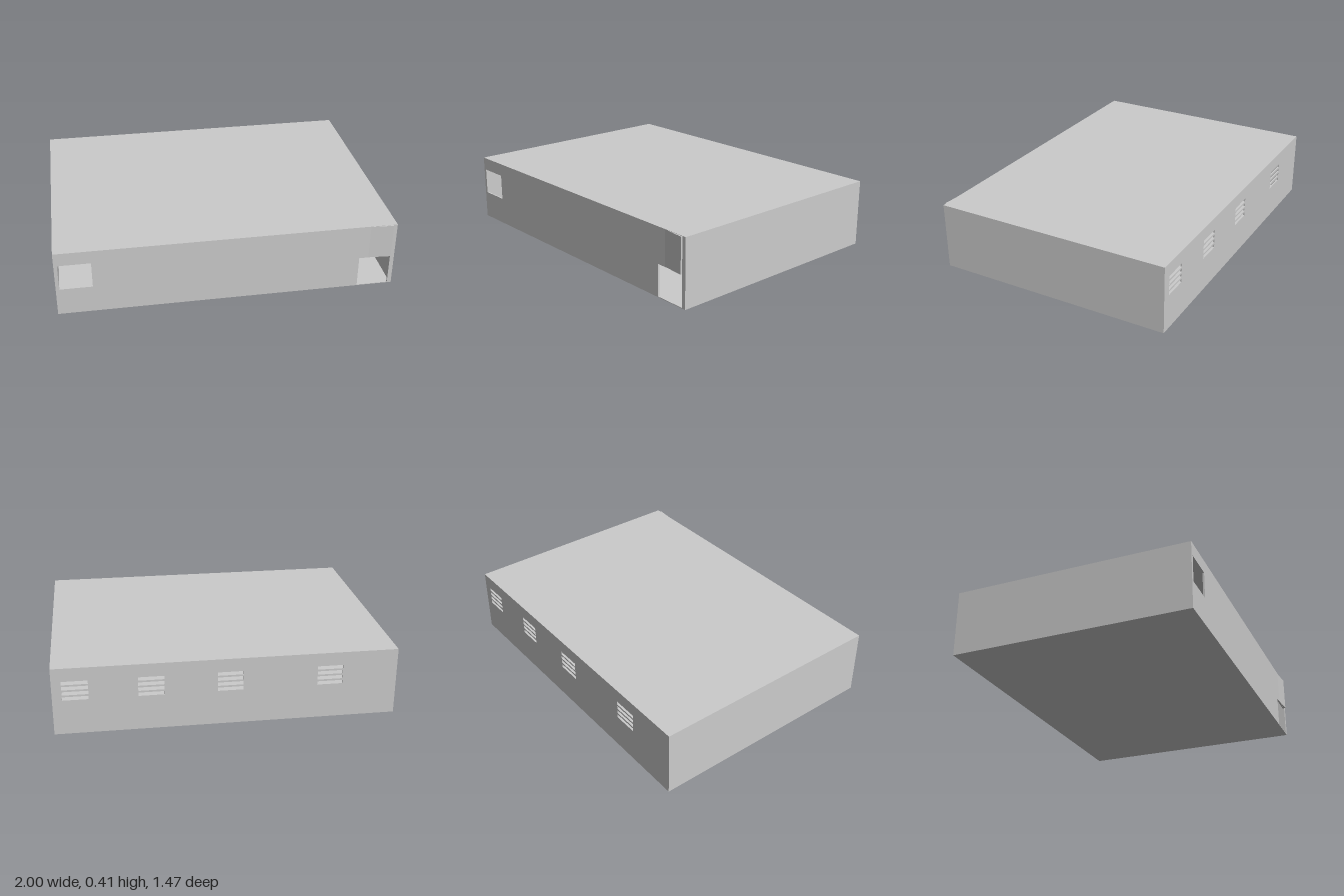
import * as THREE from 'three';

const WALL = 0.01, HEIGHT = 0.41, FRONT = 0.725, BACK = -0.735;
const DEPTH = FRONT - BACK, MID_Z = (FRONT + BACK) / 2;

export function createModel() {
  const model = new THREE.Group();
  const material = new THREE.MeshStandardMaterial({ color: 0xcccccc, flatShading: true });

  const add = (name, geometry, x, y, z) => {
    const mesh = new THREE.Mesh(geometry, material);
    mesh.name = name;
    mesh.position.set(x, y, z);
    model.add(mesh);
    return mesh;
  };

  const rectangle = (Type, x0, y0, x1, y1) => {
    const path = new Type();
    path.moveTo(x0, y0);
    path.lineTo(x1, y0);
    path.lineTo(x1, y1);
    path.lineTo(x0, y1);
    path.closePath();
    return path;
  };

  const extrude = (shape) => new THREE.ExtrudeGeometry(shape, { depth: WALL, bevelEnabled: false });

  // Floor and roof slabs
  add('floor', new THREE.BoxGeometry(2, 0.004, DEPTH), 0, 0.002, MID_Z);
  add('roof', new THREE.BoxGeometry(2, WALL, DEPTH), 0, HEIGHT - WALL / 2, MID_Z);

  // Side walls, fitted between the front and back walls
  const wallHeight = HEIGHT - WALL - 0.004;
  for (const [name, side] of [['leftWall', 1], ['rightWall', -1]]) {
    add(name, new THREE.BoxGeometry(WALL, wallHeight, DEPTH - 2 * WALL),
      side * (1 - WALL / 2), 0.004 + wallHeight / 2, MID_Z);
  }

  // Front wall: the outline steps around the doorway, with a window hole
  const front = new THREE.Shape();
  front.moveTo(-1, 0);
  front.lineTo(0.785, 0);
  front.lineTo(0.785, 0.195);
  front.lineTo(0.975, 0.195);
  front.lineTo(0.975, 0);
  front.lineTo(1, 0);
  front.lineTo(1, HEIGHT);
  front.lineTo(-1, HEIGHT);
  front.closePath();
  front.holes.push(rectangle(THREE.Path, -0.98, 0.17, -0.79, 0.33));
  add('frontWall', extrude(front), 0, 0, FRONT - WALL);

  // Back wall with four vents, each a stack of horizontal slots
  const back = rectangle(THREE.Shape, -1, 0, 1, HEIGHT);
  for (const x of [0.87, 0.44, -0.015, -0.6]) {
    for (let i = 0; i < 4; i++) {
      const y = 0.212 + i * 0.032;
      back.holes.push(rectangle(THREE.Path, x - 0.075, y, x + 0.075, y + 0.021));
    }
  }
  add('backWall', extrude(back), 0, 0, BACK);

  // Raised door panel above the doorway, slightly askew so one end stands proud
  const door = add('raisedDoor', new THREE.BoxGeometry(0.19, 0.212, WALL), 0.88, 0.302, 0.7229);
  door.rotation.y = -0.073;

  return model;
}
